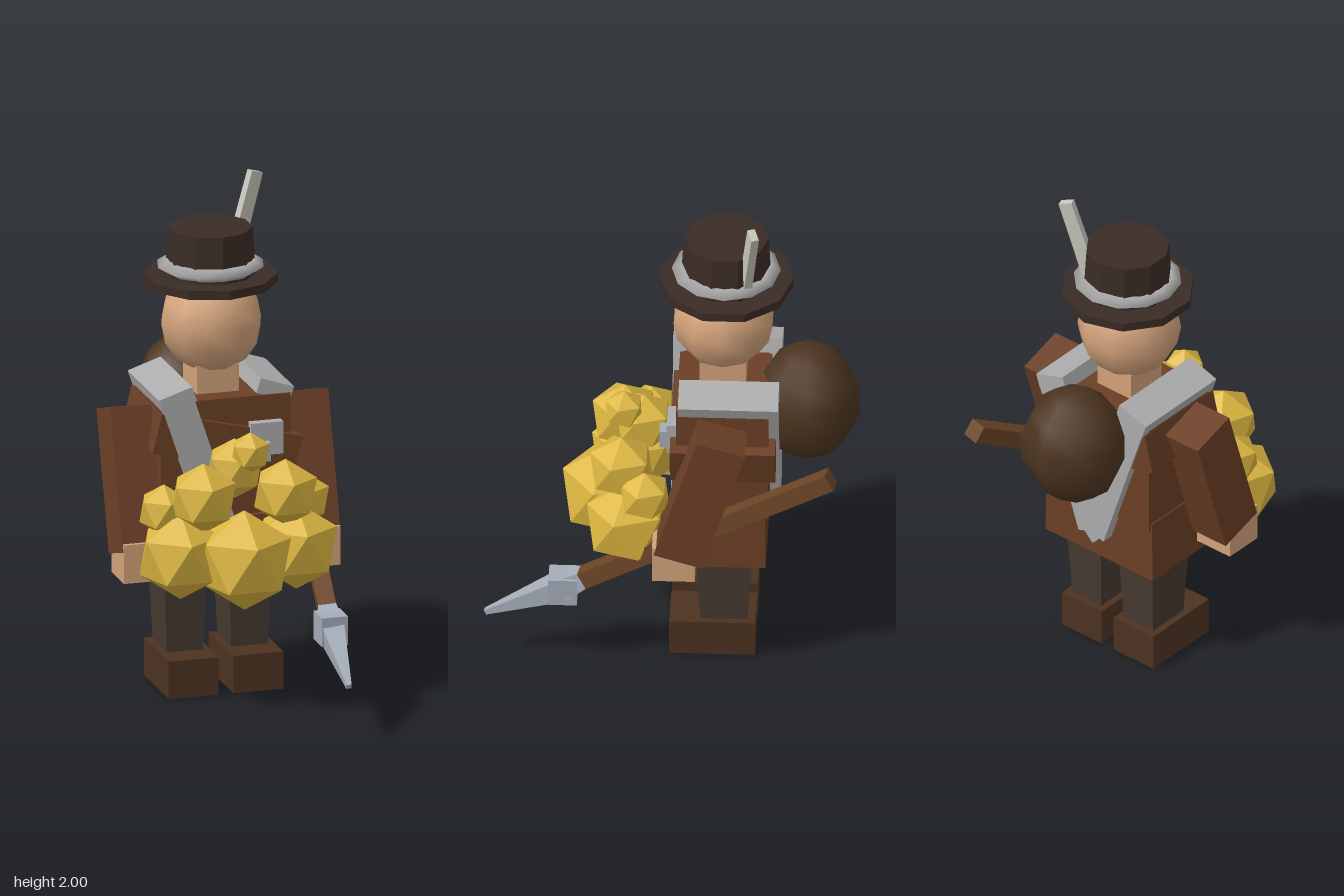
import * as THREE from 'three';

const C = {
  jacket: 0x6b3f26, trousers: 0x463a30, shoe: 0x4c3220, skin: 0xd2a27a, hat: 0x3a2b25,
  strap: 0xacacac, metal: 0xa4acb8, wood: 0x6b4526, bag: 0x4c3420, gold: 0xdcb640, feather: 0xc6c5ba,
};
const V = (x, y, z) => new THREE.Vector3(x, y, z);

export function createModel() {
  const model = new THREE.Group();

  function add(name, geo, color, pos, rot = [0, 0, 0], smooth = false) {
    const mat = new THREE.MeshStandardMaterial({ color, flatShading: !smooth });
    const mesh = new THREE.Mesh(geo, mat);
    mesh.name = name;
    mesh.position.set(...pos);
    mesh.rotation.set(...rot);
    model.add(mesh);
    return mesh;
  }
  const box = (name, color, size, pos, rot) => add(name, new THREE.BoxGeometry(...size), color, pos, rot);

  // Box whose top is w1 x d1 and bottom w0 x d0
  function frustum(w1, d1, w0, d0, h) {
    const g = new THREE.BoxGeometry(1, h, 1);
    const p = g.attributes.position;
    for (let i = 0; i < p.count; i++) {
      const top = p.getY(i) > 0;
      p.setX(i, p.getX(i) * (top ? w1 : w0));
      p.setZ(i, p.getZ(i) * (top ? d1 : d0));
    }
    return g;
  }

  // Square bar from a to b, with its width at each end
  function bar(name, color, a, b, wa, wb) {
    const dir = b.clone().sub(a);
    const mesh = add(name, frustum(wb, wb, wa, wa, dir.length()), color, a.clone().lerp(b, 0.5).toArray());
    mesh.quaternion.setFromUnitVectors(V(0, 1, 0), dir.normalize());
    return mesh;
  }

  // Legs, shoes, arms and hands
  for (const s of [-1, 1]) {
    const side = s > 0 ? 'left' : 'right';
    box(side + 'Shoe', C.shoe, [0.2, 0.15, 0.33], [s * 0.13 - 0.008, 0.075, -0.155]);
    add(side + 'Leg', frustum(0.175, 0.225, 0.145, 0.18, 0.36), C.trousers, [s * 0.13 - 0.008, 0.32, -0.2]);
    box(side + 'Sleeve', C.jacket, [0.165, 0.56, 0.195], [s * 0.355, 0.86, -0.115], [-0.3, 0, 0]);
    box(side + 'Hand', C.skin, [0.18, 0.155, 0.165], [s * 0.345, 0.575, -0.015]);
  }

  // Jacket
  box('torso', C.jacket, [0.52, 0.5, 0.355], [0, 0.93, -0.195]);
  add('jacketSkirt', frustum(0.53, 0.365, 0.54, 0.37, 0.26), C.jacket, [0, 0.58, -0.177]);
  box('sash', C.jacket, [0.58, 0.16, 0.405], [0, 1.0, -0.197], [0, 0, -0.24]);
  box('neck', C.skin, [0.17, 0.14, 0.18], [-0.007, 1.22, -0.19]);
  box('buckle', C.strap, [0.13, 0.13, 0.05], [0.155, 1.015, -0.005]);
  box('buckleTongue', C.metal, [0.06, 0.075, 0.04], [0.13, 0.97, 0.03]);

  // Head and hat
  add('head', new THREE.SphereGeometry(0.2, 10, 8), C.skin, [-0.007, 1.445, -0.19], [0, 0, 0], true);
  add('hatBrim', new THREE.CylinderGeometry(0.26, 0.26, 0.035, 10), C.hat, [-0.007, 1.617, -0.2]);
  add('hatCrown', new THREE.CylinderGeometry(0.163, 0.175, 0.2, 10), C.hat, [-0.007, 1.72, -0.2]);
  const band = add('hatBand', new THREE.TorusGeometry(0.17, 0.04, 4, 12), C.strap, [-0.007, 1.67, -0.2],
    [Math.PI / 2, 0, 0], true);
  band.scale.z = 0.65;
  const feather = bar('feather', C.feather, V(0.115, 1.69, -0.28), V(0.207, 1.99, -0.312), 0.06, 0.055);
  feather.geometry.scale(1, 1, 0.55);
  feather.rotateY(0.35);

  // Pack straps: over each shoulder and down the back to a point
  for (const s of [-1, 1]) {
    const side = s > 0 ? 'left' : 'right';
    const front = s > 0 ? -0.025 : 0.01;
    const len = front + 0.41;
    box(side + 'ShoulderStrap', C.strap, [0.14, 0.06, len], [s * 0.2, 1.195, front - len / 2], [0, 0, -s * 0.32]);
    box(side + 'BackStrap', C.strap, [0.13, 0.66, 0.05], [s * 0.105, 0.9, -0.385], [0, 0, -s * 0.32]);
  }
  box('rightFrontStrap', C.strap, [0.13, 0.62, 0.04], [-0.115, 0.93, -0.01], [0, 0, 0.32]);
  box('strapEnd', C.metal, [0.06, 0.05, 0.05], [0, 0.57, -0.38], [0, 0, Math.PI / 4]);

  // Pack
  const pack = add('pack', new THREE.SphereGeometry(1, 8, 7), C.bag, [-0.005, 1.06, -0.515], [0, Math.PI, 0], true);
  pack.scale.set(0.215, 0.24, 0.205);

  // Spear held in the left hand
  const tail = V(0.41, 0.985, -0.62);
  const guard = V(0.29, 0.36, 0.415);
  bar('spearShaft', C.wood, tail, guard, 0.07, 0.07);
  bar('spearSocket', C.metal, guard.clone().lerp(tail, 0.15), guard, 0.045, 0.095);
  box('spearGuard', C.metal, [0.105, 0.115, 0.11], guard.toArray());
  bar('spearHead', C.metal, guard, V(0.272, 0.213, 0.715), 0.095, 0.02);

  // Heap of nuggets: x, y, z, radius
  const nuggets = [
    [-0.007, 0.61, 0.25, 0.2], [-0.24, 0.625, 0.17, 0.175], [0.225, 0.625, 0.17, 0.175],
    [-0.155, 0.855, 0.195, 0.14], [0.175, 0.85, 0.195, 0.135], [0.035, 1.02, 0.19, 0.082],
    [-0.005, 0.94, 0.115, 0.12], [-0.285, 0.79, 0.1, 0.105], [0.28, 0.79, 0.1, 0.105],
  ];
  for (const [x, y, z, r] of nuggets) {
    const g = new THREE.IcosahedronGeometry(r, 0);
    g.rotateZ(-Math.atan(2 / (1 + Math.sqrt(5)))); // a corner points up
    g.rotateY(-Math.PI / 2);
    add('nugget', g, C.gold, [x, y, z]);
  }

  return model;
}
